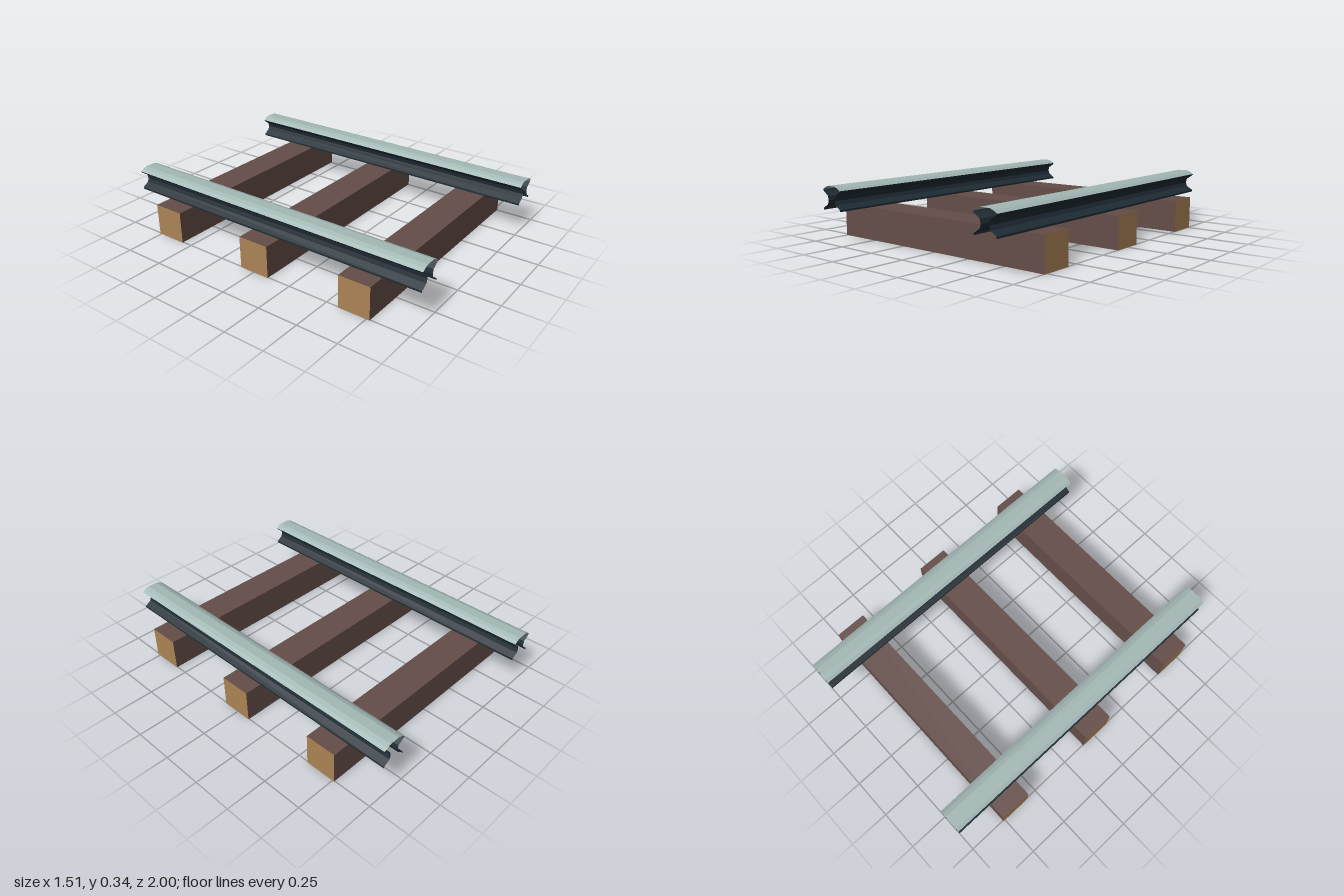
import * as THREE from 'three';

const mat = (name, color) => {
  const m = new THREE.MeshStandardMaterial({ color, flatShading: true, side: THREE.DoubleSide });
  m.name = name;
  return m;
};

// Sweeps an open profile (x, y), running left to right over the top, along z.
function sweep(profile, length) {
  const h = length / 2, pos = [];
  for (let i = 0; i < profile.length - 1; i++) {
    const [px, py] = profile[i], [qx, qy] = profile[i + 1];
    pos.push(px, py, h, qx, qy, h, qx, qy, -h, px, py, h, qx, qy, -h, px, py, -h);
  }
  const g = new THREE.BufferGeometry();
  g.setAttribute('position', new THREE.Float32BufferAttribute(pos, 3));
  g.computeVertexNormals();
  return g;
}

export function createModel() {
  const model = new THREE.Group();
  const wood = mat('brown wood', 0x654d48);
  const cutWood = mat('cut wood', 0xac8455);
  const steel = mat('worn steel', 0xa3b8b5);
  const darkSteel = mat('dark steel', 0x202d35);

  const add = (parent, name, geometry, material) => {
    const mesh = new THREE.Mesh(geometry, material);
    mesh.name = name;
    parent.add(mesh);
    return mesh;
  };

  // Sleepers: open underneath, pale cut ends
  const W = 0.195, H = 0.195, L = 1.51;
  const sleeperShell = sweep([[-W / 2, 0], [-W / 2, H], [W / 2, H], [W / 2, 0]], L).rotateY(Math.PI / 2);
  const endFace = new THREE.PlaneGeometry(W, H);
  for (const z of [-0.664, 0.004, 0.673]) {
    const sleeper = new THREE.Group();
    sleeper.name = 'sleeper';
    sleeper.position.z = z;
    add(sleeper, 'sleeperBody', sleeperShell, wood);
    for (const s of [-1, 1]) {
      const end = add(sleeper, 'sleeperEnd', endFace, cutWood);
      end.position.set(s * L / 2, H / 2, 0);
      end.rotation.y = s * Math.PI / 2;
    }
    model.add(sleeper);
  }

  // Rails: worn crown over a waisted web and flared foot, open at the ends
  const crown = [[-0.075, 0.315], [-0.055, 0.328], [-0.03, 0.337], [0.03, 0.337], [0.055, 0.328], [0.075, 0.315]];
  const side = [[0.075, 0.315], [0.068, 0.305], [0.032, 0.28], [0.026, 0.255], [0.034, 0.232], [0.072, 0.208], [0.072, 0.197]];
  const crownGeo = sweep(crown, 2);
  const rightGeo = sweep(side, 2);
  const leftGeo = sweep(side.map(([x, y]) => [-x, y]).reverse(), 2);
  for (const x of [-0.58, 0.58]) {
    const rail = new THREE.Group();
    rail.name = x > 0 ? 'leftRail' : 'rightRail';
    rail.position.x = x;
    add(rail, 'railCrown', crownGeo, steel);
    add(rail, 'railSide', rightGeo, darkSteel);
    add(rail, 'railSide', leftGeo, darkSteel);
    model.add(rail);
  }
  return model;
}
